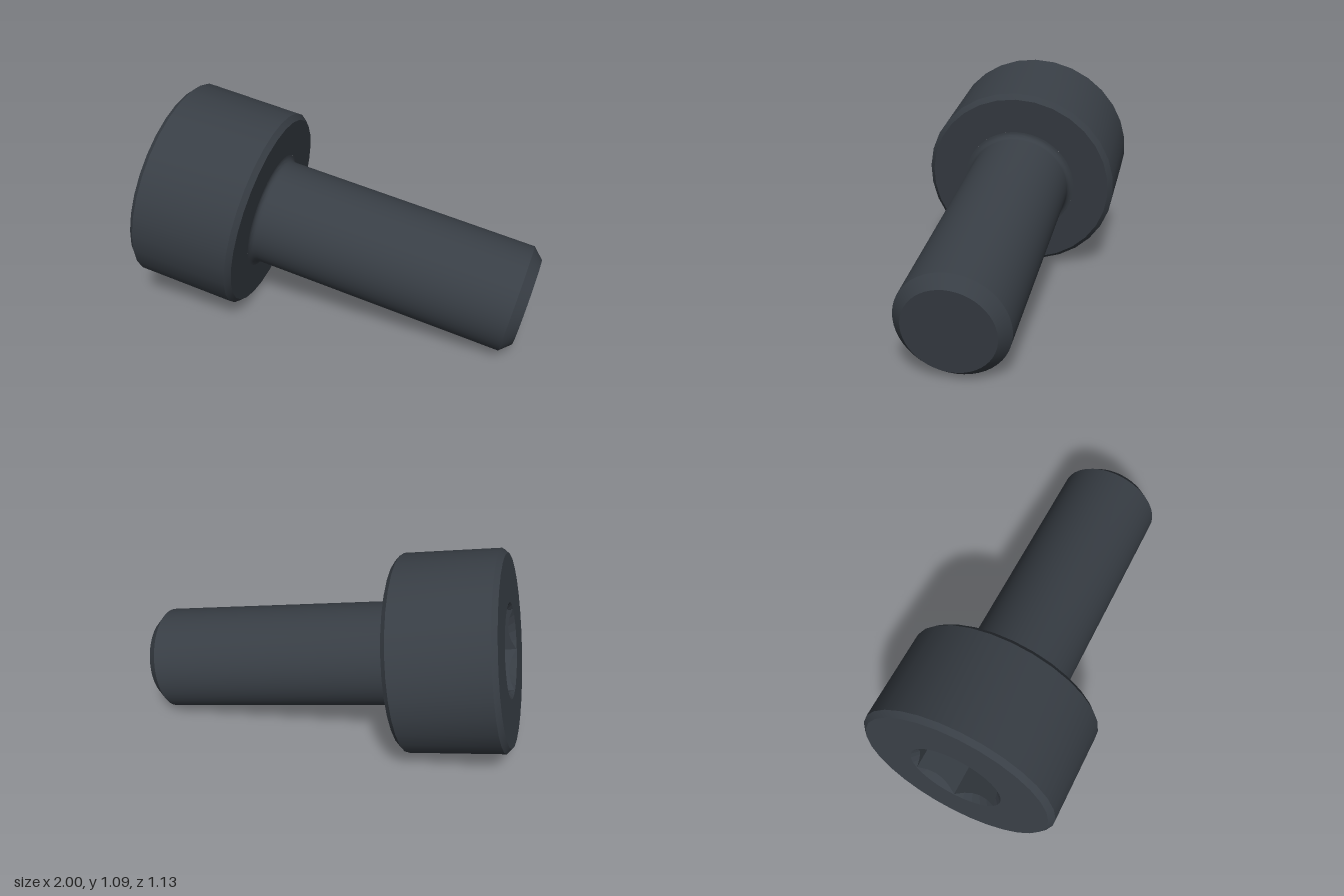
import * as THREE from 'three';
import { toCreasedNormals } from 'three/addons/utils/BufferGeometryUtils.js';

// Local frame: y runs along the bolt, tip at y = 0, head below it.
const BEARING = -1.343, BACK = -1.882;
const HEAD_R = 0.508, SHANK_R = 0.267, SOCKET_R = 0.24, SIDES = 30;

const steel = new THREE.MeshStandardMaterial({ color: 0x383e45 });
steel.name = 'darkSteel';

function part(name, geometry) {
  const mesh = new THREE.Mesh(geometry, steel);
  mesh.name = name;
  return mesh;
}

function turned(points, sides) {
  const profile = points.map(([r, y]) => new THREE.Vector2(r, y));
  return toCreasedNormals(new THREE.LatheGeometry(profile, sides), 0.5);
}

// Hexagonal recess: round countersink, six walls, flat floor
function socketGeometry() {
  const third = Math.PI / 3, cornerR = 0.238;
  const hex = (a) => cornerR * Math.cos(third / 2) / Math.cos((a % third) - third / 2);
  const rings = [
    () => [SOCKET_R, 0],
    (a) => [hex(a), SOCKET_R - hex(a)],
    (a) => [hex(a), 0.275],
    () => [0, 0.275],
  ];
  const point = (k, i) => {
    const a = ((i % SIDES) / SIDES) * Math.PI * 2 + 1e-7;
    const [r, depth] = rings[k](a);
    return [r * Math.sin(a), BACK + depth, r * Math.cos(a)];
  };
  const positions = [];
  for (let k = 0; k < rings.length - 1; k++) {
    for (let i = 0; i < SIDES; i++) {
      const a = point(k, i), b = point(k, i + 1), c = point(k + 1, i), d = point(k + 1, i + 1);
      positions.push(...a, ...c, ...b);
      if (k < rings.length - 2) positions.push(...b, ...c, ...d);
    }
  }
  const geometry = new THREE.BufferGeometry();
  geometry.setAttribute('position', new THREE.Float32BufferAttribute(positions, 3));
  geometry.computeVertexNormals();
  return geometry;
}

export function createModel() {
  const bolt = new THREE.Group();
  bolt.name = 'socketHeadBolt';

  // Cylindrical head with chamfered rims
  const chamfer = 0.025, fillet = 0.03;
  bolt.add(part('head', turned([
    [SOCKET_R, BACK],
    [HEAD_R - chamfer, BACK],
    [HEAD_R, BACK + chamfer],
    [HEAD_R, BEARING - chamfer],
    [HEAD_R - chamfer, BEARING],
    [SHANK_R + fillet, BEARING],
  ], SIDES)));

  bolt.add(part('hexSocket', socketGeometry()));

  // Shank with a fillet under the head and a chamfered tip
  const shank = [];
  for (let i = 0; i <= 6; i++) {
    const a = (i / 6) * Math.PI / 2;
    shank.push([SHANK_R + fillet * (1 - Math.sin(a)), BEARING + fillet * (1 - Math.cos(a))]);
  }
  shank.push([SHANK_R, -0.053], [0.216, 0], [0, 0]);
  bolt.add(part('shank', turned(shank, 48)));

  // Tilt the bolt so that it rests on the rim of its head and its tip
  const axis = new THREE.Vector3(0.962, -0.183, 0.204).normalize();
  const up = new THREE.Vector3(0, 1, 0).addScaledVector(axis, -axis.y).normalize();
  const side = new THREE.Vector3().crossVectors(axis, up);
  bolt.quaternion.setFromRotationMatrix(new THREE.Matrix4().makeBasis(side, axis, up));
  bolt.position.set(0.941, 0.254, 0.313);

  const model = new THREE.Group();
  model.name = 'model';
  model.add(bolt);
  return model;
}
